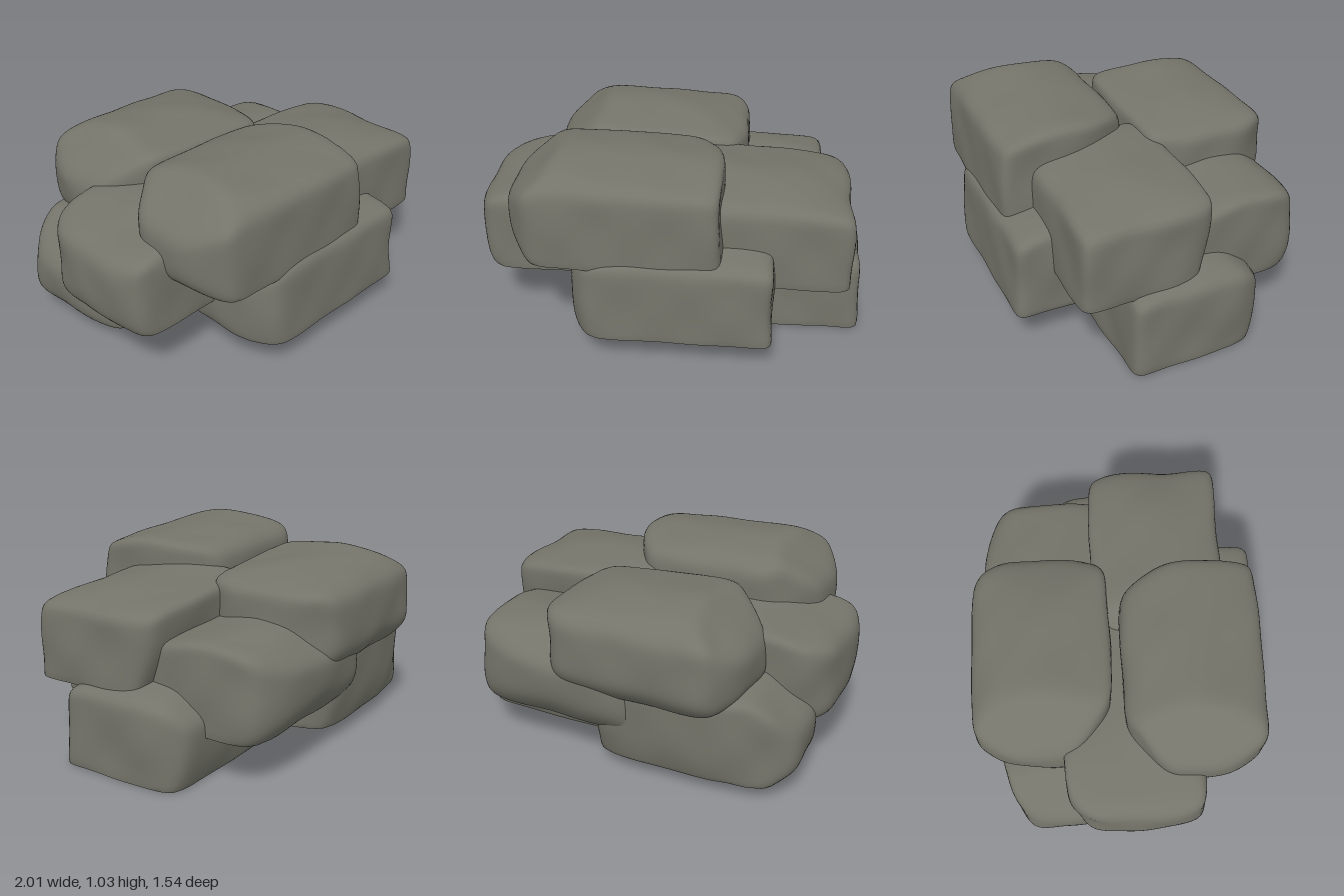
import * as THREE from 'three';
import { mergeVertices, toCreasedNormals } from 'three/addons/utils/BufferGeometryUtils.js';

const HALF = new THREE.Vector3(0.535, 0.245, 0.355);

// Cutting planes of a stone: normal x, y, z and usual distance from its centre.
// Planes without a distance only cut the stones that ask for them.
const PLANES = {
  right: [1, 0.03, 0, 0.537],
  left: [-1, 0, 0, 0.54],
  front: [0, 0.04, 1, 0.355],
  back: [0, 0, -1, 0.362],
  topFront: [0.05, 1, 0.18, 0.25],
  topBack: [0.05, 1, -0.15, 0.25],
  under: [0, -1, 0, 0.275], // trimmed flat later
  topLeft: [-0.59, 0.8, 0, 0.36],
  lowLeft: [-0.57, -0.82, 0, 0.45],
  backLeft: [-0.66, 0, -0.75, 0.462],
  frontLeft: [-0.81, 0, 0.58, 0.525],
  backRight: [0.8, 0, -0.6, 0.585],
  frontRight: [0.8, 0, 0.6],
  topFrontBevel: [0, 0.8, 0.6, 0.345],
  topBackBevel: [0, 0.8, -0.6],
  lowBack: [0, -0.35, -0.94, 0.385],
  lowBackBevel: [0, -0.67, -0.74],
  lowFrontBevel: [0, -0.67, 0.74],
  lowBackCorner: [0.5, -0.6, -0.6],
  lowFrontCorner: [0.5, -0.6, 0.6],
  rightSlope: [0.287, 0.958, 0],
  leftSlope: [-0.2, 0.98, 0],
  backTaperRight: [0.34, 0, -0.94],
  backTaperLeft: [-0.3, 0, -0.95],
};

// name, centre x, underside y, centre z, z direction, own plane distances
const STONES = [
  ['bottomRightStone', 0.46, 0, -0.01, 1,
    { topLeft: 0.37, topBackBevel: 0.29, rightSlope: 0.312, backRight: 0.59 }],
  ['bottomBackStone', -0.395, 0.08, -0.31, 1,
    { topLeft: 0.37, backLeft: 0.498, backTaperLeft: 0.385 }],
  ['lowerFrontStone', 0.02, 0.16, 0.405, 1,
    { left: 0.508, right: 0.522, lowLeft: 0.5, leftSlope: 0.24, topLeft: 0.365 }],
  ['middleBackStone', 0.265, 0.24, -0.375, 1,
    { lowLeft: 0.43, topBackBevel: 0.283, lowBackBevel: 0.357, lowBackCorner: 0.56, backTaperRight: 0.43 }],
  ['middleLeftStone', -0.457, 0.315, 0.055, 1,
    { topLeft: 0.41, leftSlope: 0.25, lowLeft: 0.49, backLeft: 0.535, frontLeft: 0.6 }],
  ['middleRightStone', 0.385, 0.39, 0.215, 1,
    { rightSlope: 0.3, lowBack: 0.328, back: 0.35 }],
  ['topBackStone', -0.155, 0.465, -0.41, -1,
    { topLeft: 0.35, lowLeft: 0.44, rightSlope: 0.297, topFrontBevel: 0.312,
      lowFrontBevel: 0.375, lowFrontCorner: 0.535, frontRight: 0.55 }],
  ['topFrontStone', -0.26, 0.54, 0.365, 1,
    { topLeft: 0.355, backRight: 0.525, topFrontBevel: 0.335, topBackBevel: 0.335 }],
];

// A softly rounded block: box directions pushed out to a blend of the planes
function stoneGeometry(distances, flip, seed) {
  const planes = Object.entries(PLANES)
    .map(([key, [nx, ny, nz, d]]) => [nx, ny, nz, distances[key] ?? d])
    .filter((plane) => plane[3] !== undefined);
  let geo = new THREE.BoxGeometry(HALF.x * 2, HALF.y * 2, HALF.z * 2, 44, 22, 30);
  geo.deleteAttribute('normal');
  geo.deleteAttribute('uv');
  geo = mergeVertices(geo);
  const pos = geo.attributes.position;
  const v = new THREE.Vector3();
  const power = 18;
  for (let i = 0; i < pos.count; i++) {
    v.fromBufferAttribute(pos, i);
    let sum = 0;
    for (const [nx, ny, nz, d] of planes) {
      const t = (nx * v.x + ny * v.y + nz * v.z * flip) / d;
      if (t > 0) sum += Math.pow(t, power);
    }
    v.multiplyScalar(Math.pow(sum, -1 / power));
    // Gentle weathering
    const bump = Math.sin(9 * v.x + 7 * v.y + seed) * Math.sin(11 * v.z - 6 * v.y + seed * 2)
      + 0.7 * Math.sin(17 * v.x - 13 * v.z + seed * 3) * Math.sin(16 * v.y + 8 * v.z + seed);
    v.multiplyScalar(1 + 0.012 * bump);
    // Flat underside
    v.y = Math.max(v.y, -HALF.y);
    pos.setXYZ(i, v.x, v.y, v.z);
  }
  return toCreasedNormals(geo, 0.75);
}

export function createModel() {
  const group = new THREE.Group();
  group.name = 'rockPile';
  const material = new THREE.MeshStandardMaterial({ color: 0x74746a });
  STONES.forEach(([name, x, y, z, flip, distances], i) => {
    const stone = new THREE.Mesh(stoneGeometry(distances, flip, i * 1.7), material);
    stone.name = name;
    stone.position.set(x, y + HALF.y, z);
    group.add(stone);
  });
  return group;
}
